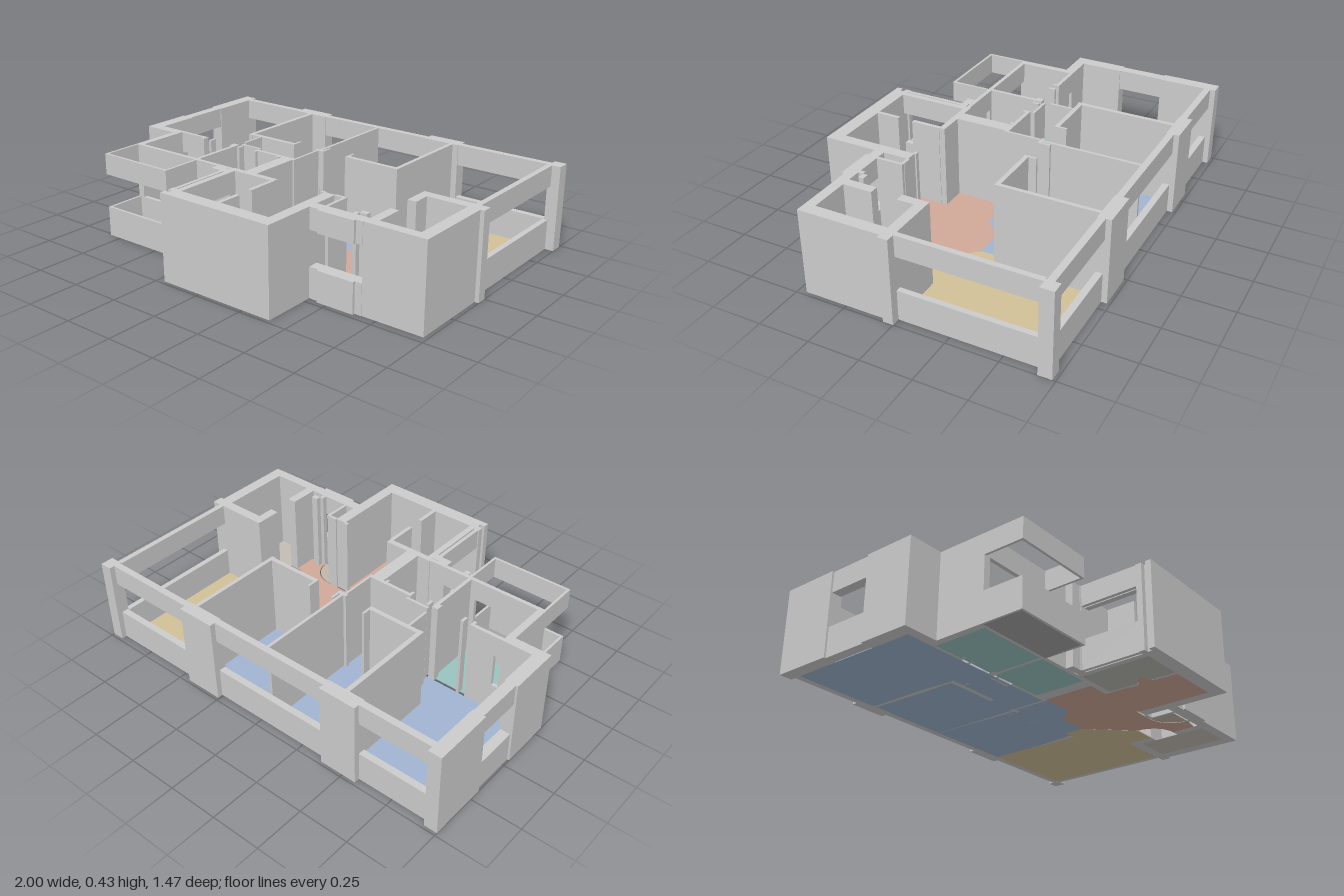
import * as THREE from 'three';

const H = 0.425, SILL = 0.15, HEAD = 0.32;
const grey = new THREE.MeshStandardMaterial({ color: 0xcccccc });

export function createModel() {
  const model = new THREE.Group();

  // Upright block given by its plan rectangle
  function wall(name, x0, x1, z0, z1, y0 = 0, y1 = H) {
    const mesh = new THREE.Mesh(new THREE.BoxGeometry(x1 - x0, y1 - y0, z1 - z0), grey);
    mesh.position.set((x0 + x1) / 2, (y0 + y1) / 2, (z0 + z1) / 2);
    mesh.name = name;
    model.add(mesh);
  }
  // Wall with a window gap: sill below, lintel above
  function windowWall(name, x0, x1, z0, z1) {
    wall(name + ' sill', x0, x1, z0, z1, 0, SILL);
    wall(name + ' lintel', x0, x1, z0, z1, HEAD, H);
  }
  // Thin floor slab from a plan outline of [x, z] corners
  function floor(name, color, corners) {
    const shape = new THREE.Shape(corners.map(([x, z]) => new THREE.Vector2(x, -z)));
    const geo = new THREE.ExtrudeGeometry(shape, { depth: 0.004, bevelEnabled: false });
    geo.rotateX(-Math.PI / 2);
    const mesh = new THREE.Mesh(geo, new THREE.MeshStandardMaterial({ color }));
    mesh.name = name;
    model.add(mesh);
  }
  const rect = (x0, x1, z0, z1) => [[x0, z0], [x1, z0], [x1, z1], [x0, z1]];
  // Points on a door swing
  const arc = (cx, cz, r, a0, a1, n = 8) => Array.from({ length: n + 1 }, (_, i) => {
    const a = a0 + (a1 - a0) * i / n;
    return [cx + r * Math.cos(a), cz + r * Math.sin(a)];
  });

  // Floors
  floor('bedroom floor', 0xa0b4d0, [[-0.935, -0.675], [0.41, -0.675], [0.41, -0.17], [0.355, -0.17],
    [0.355, -0.07], [0.2, -0.07], [0.12, 0.02], [-0.05, 0.02], [-0.05, 0], [-0.935, 0]]);
  floor('living room floor', 0xd0c098, [[0.41, -0.675], [0.93, -0.675], [0.93, 0], [0.675, 0],
    [0.675, 0.135], [0.55, 0.135], [0.355, -0.07], [0.355, -0.17], [0.41, -0.17]]);
  floor('hall floor', 0xd0a898, [[-0.05, 0.02], [0.12, 0.02], [0.2, -0.07], [0.355, -0.07],
    ...arc(0.675, 0.14, 0.125, Math.PI, Math.PI / 2), [0.675, 0.385], [0.6, 0.4],
    ...arc(0.46, 0.4, 0.13, 0, -Math.PI / 2), [0.345, 0.27], [0.345, 0.66], [0.07, 0.66],
    [0.07, 0.54], [0, 0.5], [0.07, 0.46], [0.07, 0.28], [-0.05, 0.28]]);
  floor('entry floor', 0xc0b6a8, [[0.46, 0.4], ...arc(0.46, 0.4, 0.125, 0, -Math.PI / 2)]);
  floor('left bathroom floor', 0x98c4c0, rect(-0.785, -0.425, 0.015, 0.285));
  floor('right bathroom floor', 0x98c4c0, rect(-0.41, -0.115, 0.015, 0.285));
  floor('balcony floor', 0xa4a4a4, rect(-0.81, -0.41, 0.3, 0.5));
  floor('utility floor', 0xb6b8b0, [[-0.155, 0.31], [0.06, 0.31], [0.06, 0.465], [0, 0.5],
    [0.06, 0.535], [0.06, 0.66], [-0.155, 0.66]]);
  floor('shaft floor', 0xc4bcb4, rect(0.72, 0.92, 0.05, 0.41));

  // Back facade: piers with recessed window bands between
  const piers = [[-1, -0.935], [-0.57, -0.38], [0.257, 0.45], [0.94, 1]];
  piers.forEach(([x0, x1], i) => {
    wall('back pier', x0, x1, -0.735, -0.67);
    if (i) windowWall('back window', piers[i - 1][1], x0, -0.708, -0.675);
  });

  // Left facade with one window
  wall('left wall back', -1, -0.935, -0.67, -0.44);
  windowWall('left window', -0.99, -0.94, -0.44, -0.21);
  wall('left wall front', -1, -0.935, -0.21, 0.05);
  wall('left return wall', -0.935, -0.785, 0, 0.05);

  // Right facade: long window band and corner pier
  windowWall('right window', 0.93, 0.957, -0.67, 0);
  wall('right pier', 0.93, 1, 0, 0.05);

  // Shaft block at the right front
  wall('shaft back wall', 0.675, 0.93, 0, 0.05);
  wall('shaft right wall', 0.92, 0.98, 0.05, 0.46);
  wall('shaft front wall', 0.675, 0.98, 0.41, 0.46);
  wall('shaft left wall back', 0.675, 0.72, 0.05, 0.135);
  wall('shaft left wall front', 0.675, 0.72, 0.265, 0.41);

  // Entry window, door leaf and posts
  windowWall('entry window', 0.4, 0.675, 0.41, 0.462);
  windowWall('entry window ledge', 0.45, 0.64, 0.462, 0.475);
  wall('entry door post', 0.445, 0.46, 0.275, 0.41);
  wall('entry post', 0.585, 0.605, 0.385, 0.41);
  wall('entry side leaf', 0.605, 0.64, 0.36, 0.385);
  wall('entry nib', 0.4, 0.445, 0.272, 0.288);

  // Front block
  wall('front wall', -0.19, 0.4, 0.66, 0.73);
  wall('front block right wall', 0.345, 0.4, 0.28, 0.66);
  wall('front right nib', 0.325, 0.345, 0.272, 0.288);
  wall('front block back wall', -0.185, 0.075, 0.28, 0.31);
  wall('utility partition back', 0.058, 0.078, 0.31, 0.46);
  wall('utility partition front', 0.058, 0.078, 0.54, 0.66);
  windowWall('front block left window', -0.185, -0.155, 0.35, 0.66);
  windowWall('front block outer frame', -0.21, -0.192, 0.35, 0.66);
  wall('front block corner post', -0.215, -0.185, 0.65, 0.68);
  wall('front block lower post', -0.215, -0.19, 0.7, 0.73);
  wall('front block back post', -0.215, -0.155, 0.31, 0.35);
  wall('front block nib', -0.27, -0.215, 0.305, 0.345);

  // Bathrooms
  wall('bathroom left wall', -0.82, -0.785, 0.05, 0.305);
  wall('bathroom divider', -0.425, -0.407, 0, 0.29);
  wall('bathroom right wall', -0.115, -0.05, 0, 0.28);
  windowWall('left bathroom front window', -0.785, -0.45, 0.285, 0.305);
  wall('bathroom front middle', -0.45, -0.39, 0.285, 0.305);
  windowWall('right bathroom front window', -0.39, -0.27, 0.285, 0.305);
  wall('bathroom front right', -0.27, -0.185, 0.285, 0.305);
  windowWall('bathroom back window', -0.785, -0.75, 0, 0.018);
  wall('left bathroom back wall', -0.75, -0.625, 0, 0.018);
  wall('left bathroom back nib', -0.44, -0.425, 0, 0.035);
  wall('right bathroom back wall', -0.275, -0.115, 0, 0.018);
  for (const x of [-0.63, -0.58, -0.39, -0.285, -0.14]) wall('bathroom door post', x, x + 0.015, 0, 0.035);

  // Balcony: low parapet with a matching band above
  windowWall('balcony front parapet', -0.82, -0.405, 0.497, 0.51);
  windowWall('balcony left parapet', -0.82, -0.808, 0.305, 0.497);
  windowWall('balcony right parapet', -0.417, -0.405, 0.305, 0.497);

  // Bedroom partitions
  for (const [x0, x1] of [[-0.49, -0.467], [-0.045, -0.03], [0.4, 0.42]])
    wall('bedroom partition', x0, x1, -0.675, -0.17);
  wall('middle bedroom front wall', -0.467, -0.2, -0.195, -0.172);
  wall('right bedroom front wall', 0.125, 0.4, -0.195, -0.172);
  for (const x of [-0.207, -0.022, 0.12]) wall('bedroom door post', x, x + 0.012, -0.235, -0.172);
  wall('bedroom door stop', -0.06, -0.01, -0.19, -0.172);
  wall('passage wall', -0.417, -0.405, -0.172, -0.05);
  wall('passage door leaf', -0.4, -0.28, -0.025, -0.012);
  wall('passage end wall', -0.052, -0.04, -0.17, 0.02);

  return model;
}
